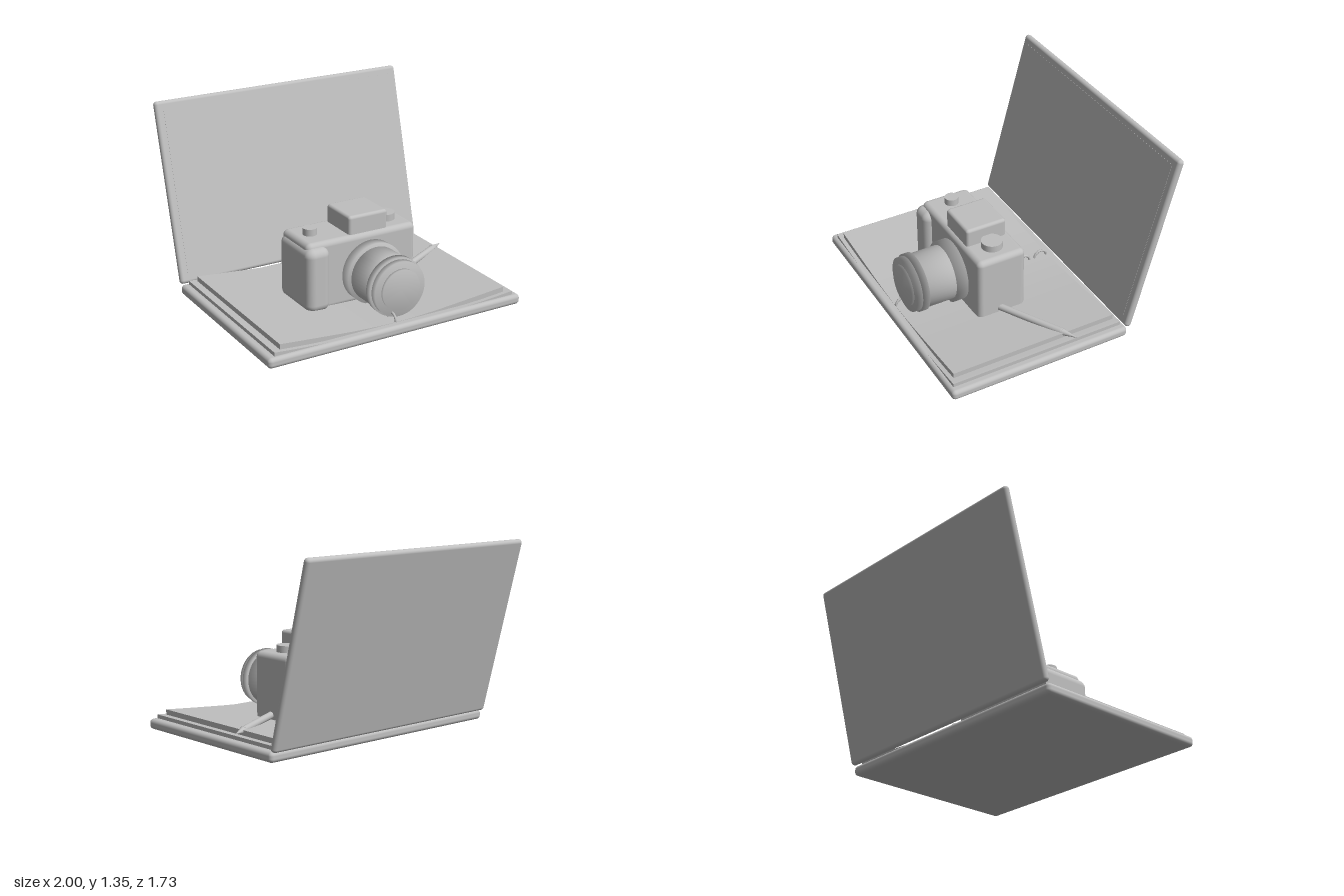
import * as THREE from 'three';
import { RoundedBoxGeometry } from 'three/addons/geometries/RoundedBoxGeometry.js';
import { toCreasedNormals } from 'three/addons/utils/BufferGeometryUtils.js';

export function createModel() {
  const model = new THREE.Group();
  const grey = new THREE.MeshStandardMaterial({ color: 0xbfbfbf });
  grey.name = 'plain grey';

  const add = (name, geometry, x = 0, y = 0, z = 0, parent = model) => {
    const mesh = new THREE.Mesh(geometry, grey);
    mesh.name = name;
    mesh.position.set(x, y, z);
    parent.add(mesh);
    return mesh;
  };
  // Rounded box given by its limits on each axis
  const box = (name, [x0, x1], [y0, y1], [z0, z1], r, parent = model) =>
    add(name, new RoundedBoxGeometry(x1 - x0, y1 - y0, z1 - z0, 4, r),
      (x0 + x1) / 2, (y0 + y1) / 2, (z0 + z1) / 2, parent);

  // Laptop: base slab and lid leaning back
  box('laptopBase', [-1, 1], [0.003, 0.077], [-0.505, 0.863], 0.028);
  const lid = new THREE.Group();
  lid.name = 'laptopLid';
  lid.position.set(0, 0.7125, -0.6775);
  lid.rotation.x = -THREE.MathUtils.degToRad(15);
  model.add(lid);
  add('lidPanel', new RoundedBoxGeometry(2, 1.317, 0.05, 4, 0.0245), 0, 0, 0, lid);
  add('screen', new THREE.BoxGeometry(1.88, 1.2, 0.006), 0, 0, 0.0235, lid);

  // Open notebook: sheets that dip towards the middle
  const sheet = (name, half, z0, z1, rise) => {
    const top = rise.map(([x, y]) => new THREE.Vector2(x, y));
    const left = top.slice(1).reverse().map((p) => new THREE.Vector2(-p.x, p.y));
    const shape = new THREE.Shape();
    shape.moveTo(half, 0.06);
    shape.lineTo(half, top[top.length - 1].y);
    shape.splineThru([...top].reverse().slice(1).concat([...left].reverse()));
    shape.lineTo(-half, 0.06);
    shape.closePath();
    const geo = new THREE.ExtrudeGeometry(shape, { depth: z1 - z0, bevelEnabled: false, curveSegments: 10 });
    add(name, toCreasedNormals(geo, 0.5), 0, 0, z0);
  };
  sheet('notebookCover', 0.945, -0.475, 0.833, [[0, 0.074], [0.55, 0.077], [0.945, 0.104]]);
  sheet('notebookPages', 0.89, -0.447, 0.802, [[0, 0.079], [0.27, 0.087], [0.6, 0.112], [0.89, 0.137]]);

  // Binding rings down the middle of the notebook
  for (let i = 0; i < 9; i++) {
    const ring = add('bindingRing', new THREE.TorusGeometry(0.049, 0.009, 8, 28), 0, 0.077, -0.39 + i * 0.142);
    ring.rotation.y = Math.PI / 2;
  }

  // Camera body, grip and viewfinder hump
  const camera = new THREE.Group();
  camera.name = 'camera';
  model.add(camera);
  box('cameraBody', [-0.437, 0.434], [0.06, 0.566], [-0.01, 0.362], 0.04, camera);
  box('cameraGrip', [-0.459, -0.275], [0.07, 0.538], [-0.015, 0.414], 0.06, camera);
  box('viewfinder', [-0.095, 0.215], [0.54, 0.697], [0.025, 0.335], 0.022, camera);

  // Top dials
  for (const [x, r] of [[-0.315, 0.05], [0.285, 0.076]]) {
    add('dial', new THREE.CylinderGeometry(r, r, 0.07, 32), x, 0.58, 0.178, camera);
  }

  // Lens: stacked, softly shaded drums along z
  const drums = [
    ['lensMount', 0.224, 0.34, 0.442],
    ['lensBarrel', 0.199, 0.42, 0.675],
    ['focusRing', 0.212, 0.655, 0.704],
    ['lensRim', 0.199, 0.69, 0.747],
    ['frontGlass', 0.148, 0.73, 0.767],
  ];
  for (const [name, r, z0, z1] of drums) {
    const profile = [[0, 0], [r, 0], [r, z1 - z0], [0, z1 - z0]].map(([a, b]) => new THREE.Vector2(a, b));
    add(name, new THREE.LatheGeometry(profile, 48), 0.06, 0.286, z0, camera).rotation.x = Math.PI / 2;
  }

  // Pen lying beside the camera, pointing to the back corner
  const pen = new THREE.Group();
  pen.name = 'pen';
  pen.position.set(0.975, 0.129, -0.11);
  pen.rotation.y = THREE.MathUtils.degToRad(28.5);
  model.add(pen);
  add('penBarrel', new THREE.CylinderGeometry(0.025, 0.025, 0.62, 20), -0.43, 0, 0, pen).rotation.z = -Math.PI / 2;
  add('penTip', new THREE.ConeGeometry(0.026, 0.13, 20), -0.065, 0, 0, pen).rotation.z = -Math.PI / 2;

  return model;
}
